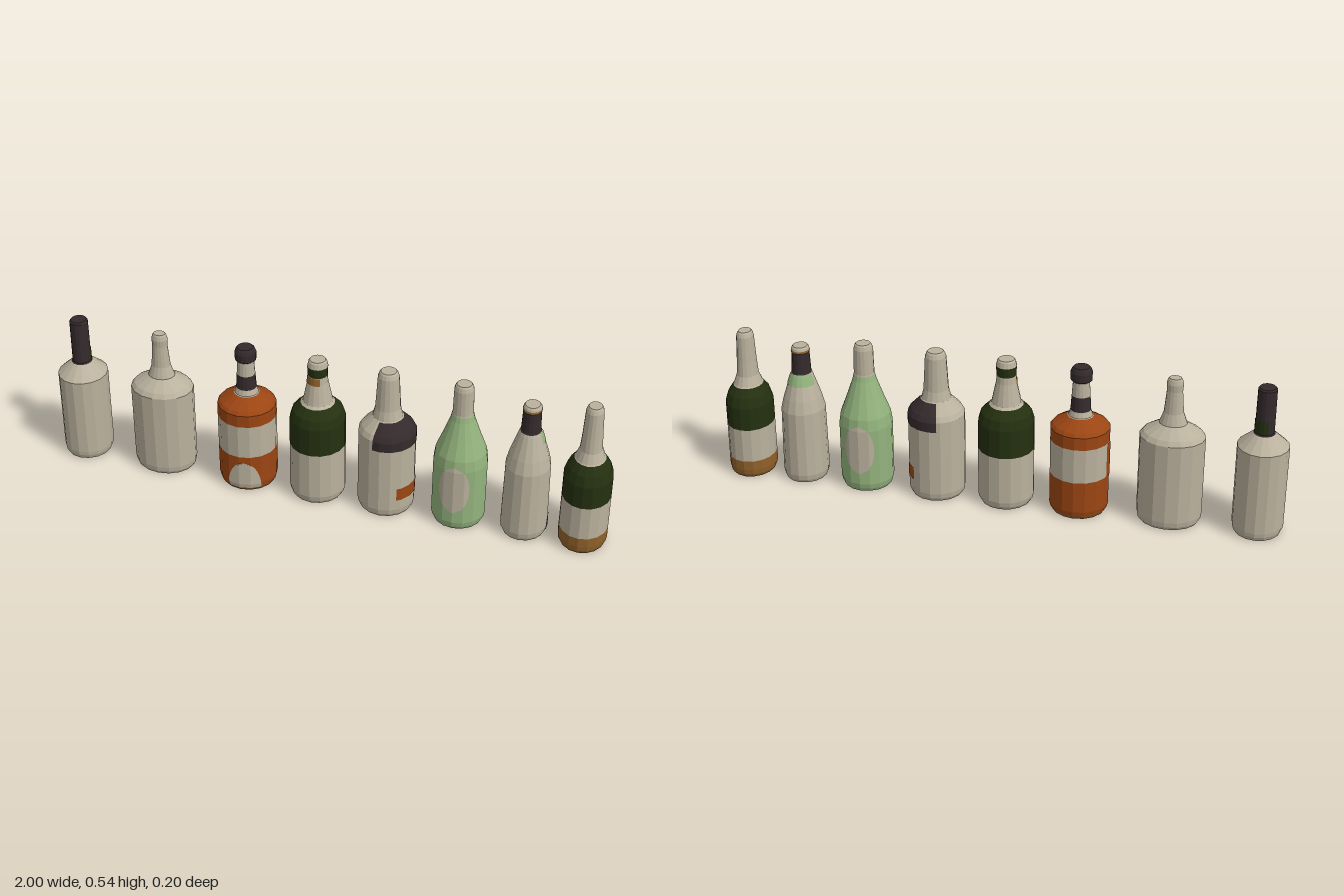
import * as THREE from 'three';

const SIDES = 16;
const mat = (name, color) => {
  const m = new THREE.MeshStandardMaterial({ color, flatShading: true });
  m.name = name;
  return m;
};

export function createModel() {
  const cream = mat('cream', 0xbab19d);
  const green = mat('bottleGreen', 0x243010);
  const orange = mat('burntOrange', 0x9c4513);
  const ochre = mat('ochre', 0x8f6029);
  const dark = mat('darkBrown', 0x342a2c);
  const pale = mat('paleGreen', 0x93b37d);
  const model = new THREE.Group();
  model.name = 'bottleRow';

  // Radius of a profile at a given height
  const radiusAt = (profile, y) => {
    for (let i = 1; i < profile.length; i++) {
      const [r0, y0] = profile[i - 1], [r1, y1] = profile[i];
      if (y >= y0 && y <= y1) return r0 + (r1 - r0) * (y - y0) / (y1 - y0);
    }
    return profile[0][0];
  };

  // One bottle: wall profile [radius, y] plus colour bands [material, top y, part name]
  function bottle(name, x, depth, wall, bands) {
    const group = new THREE.Group();
    group.name = name;
    group.position.x = x;
    group.scale.z = depth;
    model.add(group);
    const r = wall[0][0], last = wall[wall.length - 1];
    // Recessed base, wall, closed lip
    const base = [[0, 0.02], [r * 0.6, 0.02], [r * 0.66, 0], [r * 0.93, 0]];
    const upper = [...wall, [last[0] * 0.85, last[1] + 0.006], [0, last[1] + 0.006]];
    let current = base, p = base[3], b = 0;
    const flush = () => {
      const geo = new THREE.LatheGeometry(current.map(c => new THREE.Vector2(c[0], c[1])), SIDES);
      const mesh = new THREE.Mesh(geo, bands[b][0]);
      mesh.name = bands[b][2];
      group.add(mesh);
    };
    for (const q of upper) {
      // Split the wall wherever a band ends
      while (q[1] > bands[b][1]) {
        const t = (bands[b][1] - p[1]) / (q[1] - p[1]);
        const cut = [p[0] + (q[0] - p[0]) * t, bands[b][1]];
        if (t > 0) current.push(cut);
        flush();
        current = [cut];
        b++;
      }
      current.push(q);
      p = q;
    }
    flush();

    // Thin painted area following the faceted wall; angles in degrees, 0 = front, 90 = left
    return (partName, material, y0, y1, centre, half, shape = () => 1) => {
      const nu = 32, step = 2 * Math.PI / SIDES;
      const heights = new Set(wall.map(c => c[1]).filter(y => y > y0 && y < y1));
      for (let j = 0; j <= 12; j++) heights.add(y0 + (y1 - y0) * j / 12);
      const ys = [...heights].sort((a, c) => a - c);
      const pos = [], index = [];
      ys.forEach((y, j) => {
        const w = half * shape((y - y0) / (y1 - y0));
        for (let i = 0; i <= nu; i++) {
          const a = THREE.MathUtils.degToRad(centre + w * (2 * i / nu - 1));
          const inFacet = THREE.MathUtils.euclideanModulo(a, step) - step / 2;
          const rad = radiusAt(wall, y) * Math.cos(step / 2) / Math.cos(inFacet) + 0.002;
          pos.push(rad * Math.sin(a), y, rad * Math.cos(a));
          if (j && i) {
            const d = j * (nu + 1) + i, c = d - 1, e = d - nu - 1, f = e - 1;
            index.push(f, e, d, f, d, c);
          }
        }
      });
      const geo = new THREE.BufferGeometry();
      geo.setAttribute('position', new THREE.Float32BufferAttribute(pos, 3));
      geo.setIndex(index);
      geo.computeVertexNormals();
      const mesh = new THREE.Mesh(geo, material);
      mesh.name = partName;
      group.add(mesh);
    };
  }

  // Half-width rules for rounded labels, kept slightly open at the tips
  const oval = t => Math.sqrt(Math.max(0.001, 1 - (2 * t - 1) ** 2));
  const arch = t => Math.sqrt(Math.max(0.001, 1 - t * t));

  // Straight bottle with a dark neck sleeve
  const straight = bottle('straightBottle', -0.912, 1.05,
    [[0.086, 0.015], [0.088, 0.03], [0.088, 0.325], [0.038, 0.37], [0.033, 0.375], [0.032, 0.532]],
    [[cream, 0.371, 'body'], [dark, 1, 'neckSleeve']]);
  straight('neckTint', green, 0.376, 0.425, 145, 60);

  // Wide flattened flask
  bottle('wideFlask', -0.607, 0.84,
    [[0.11, 0.012], [0.113, 0.03], [0.113, 0.322], [0.1, 0.338], [0.048, 0.37],
      [0.034, 0.41], [0.027, 0.49], [0.029, 0.515], [0.025, 0.53]],
    [[cream, 1, 'body']]);

  // Orange bottle with a capped neck
  const capped = bottle('cappedBottle', -0.29, 0.97,
    [[0.1, 0.012], [0.104, 0.03], [0.104, 0.318], [0.095, 0.33], [0.042, 0.362], [0.036, 0.38],
      [0.032, 0.44], [0.029, 0.487], [0.037, 0.493], [0.038, 0.522], [0.033, 0.534]],
    [[ochre, 0.013, 'base'], [orange, 0.145, 'lowerBody'], [cream, 0.272, 'labelBand'],
      [orange, 0.36, 'shoulder'], [cream, 0.382, 'neckBase'], [dark, 0.435, 'neckBand'],
      [cream, 0.488, 'neck'], [dark, 1, 'cap']]);
  capped('archLabel', cream, 0.014, 0.122, 10, 34, arch);
  capped('labelGap', orange, 0.145, 0.272, 266, 12);

  // Green bottle with a collar
  const collared = bottle('collaredBottle', -0.03, 1.02,
    [[0.095, 0.012], [0.099, 0.03], [0.098, 0.31], [0.088, 0.342], [0.052, 0.378],
      [0.036, 0.455], [0.034, 0.48], [0.036, 0.515], [0.032, 0.533]],
    [[cream, 0.205, 'lowerBody'], [green, 0.37, 'shoulder'], [cream, 0.48, 'neck'],
      [green, 0.515, 'collar'], [cream, 1, 'lip']]);
  collared('neckLabel', ochre, 0.452, 0.48, -35, 65);

  // Cream bottle with a dark shoulder on one side
  const shouldered = bottle('darkShoulderBottle', 0.22, 1,
    [[0.097, 0.012], [0.1, 0.03], [0.1, 0.31], [0.09, 0.328], [0.052, 0.366],
      [0.044, 0.4], [0.037, 0.52], [0.032, 0.534]],
    [[cream, 1, 'body']]);
  shouldered('shoulderPaint', dark, 0.275, 0.364, 90, 105);
  shouldered('sideLabel', orange, 0.07, 0.118, 88, 52);

  // Pale green bottle with oval labels
  const sloping = bottle('slopingBottle', 0.48, 1,
    [[0.09, 0.012], [0.094, 0.03], [0.094, 0.24], [0.088, 0.28], [0.063, 0.345],
      [0.042, 0.405], [0.036, 0.43], [0.034, 0.52], [0.03, 0.534]],
    [[pale, 0.425, 'body'], [cream, 1, 'neck']]);
  for (const angle of [0, 180]) sloping('ovalLabel', cream, 0.072, 0.258, angle, 34, oval);

  // Slim bottle with a dark neck
  const slim = bottle('slimBottle', 0.712, 1.1,
    [[0.078, 0.012], [0.081, 0.03], [0.077, 0.27], [0.066, 0.315], [0.04, 0.395],
      [0.034, 0.41], [0.031, 0.48], [0.033, 0.488], [0.03, 0.5]],
    [[cream, 0.405, 'body'], [dark, 0.486, 'neckSleeve'], [ochre, 0.493, 'rim'], [cream, 1, 'lip']]);
  slim('shoulderTint', pale, 0.365, 0.405, 165, 95);
  slim('sideMark', dark, 0.014, 0.08, 92, 13, arch);

  // Banded green bottle
  bottle('bandedBottle', 0.916, 1.15,
    [[0.082, 0.012], [0.084, 0.03], [0.083, 0.275], [0.072, 0.31], [0.05, 0.342],
      [0.038, 0.375], [0.034, 0.43], [0.03, 0.522], [0.026, 0.534]],
    [[ochre, 0.065, 'baseBand'], [cream, 0.19, 'labelBand'], [green, 0.338, 'shoulder'], [cream, 1, 'neck']]);

  return model;
}
